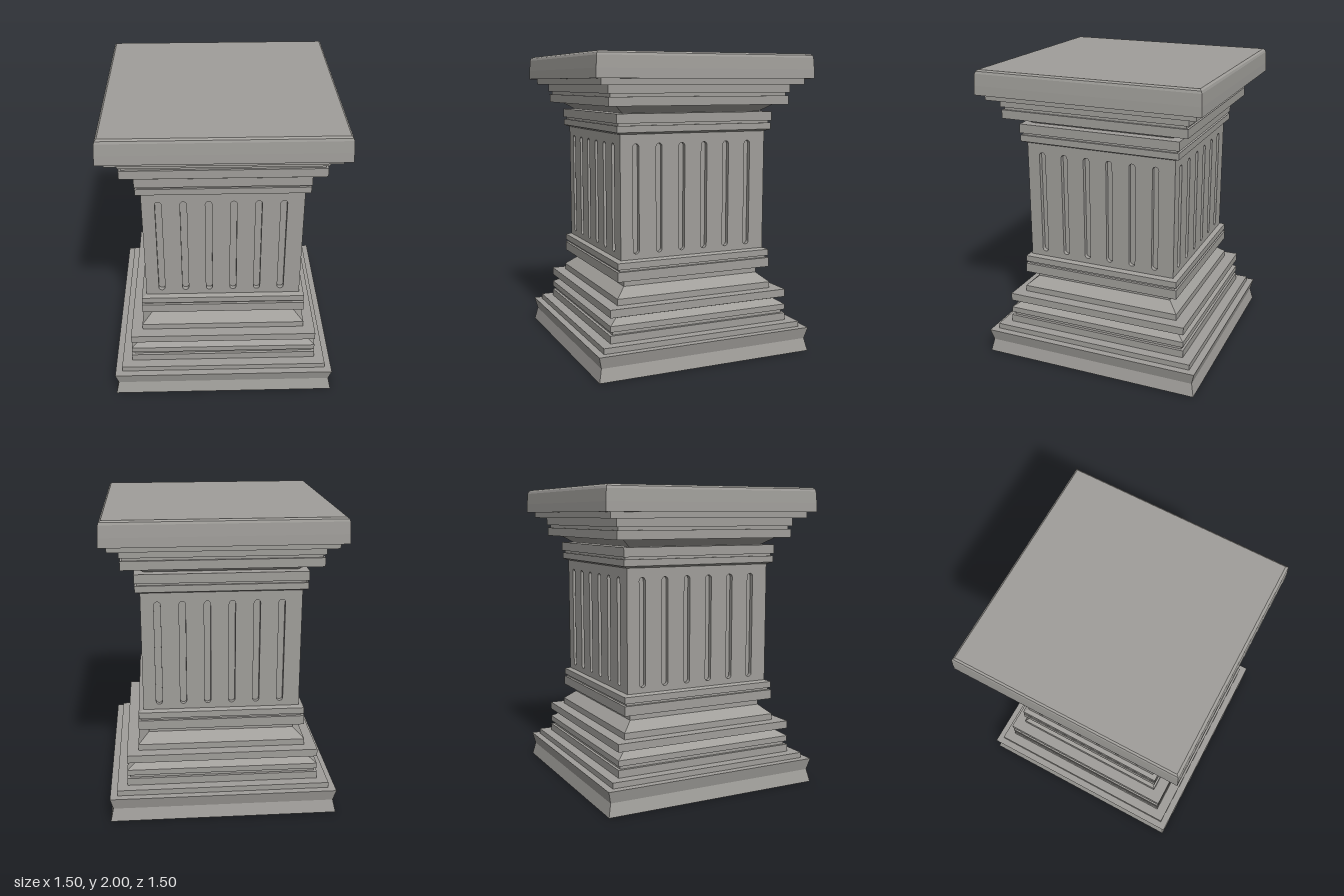
import * as THREE from 'three';

const material = new THREE.MeshStandardMaterial({ color: 0xa09e9a, flatShading: true });

// Square moulding: sweeps a [half width, height] profile round four sides
function squareMoulding(name, profile) {
  const points = profile.map(([w, y]) => new THREE.Vector2(w * Math.SQRT2, y));
  const mesh = new THREE.Mesh(new THREE.LatheGeometry(points, 4, Math.PI / 4), material);
  mesh.name = name;
  return mesh;
}

// Upright slot with round ends, cut through a shaft panel
function fluteHole(x, bottom, top, r) {
  const hole = new THREE.Path();
  hole.absarc(x, top - r, r, 0, Math.PI, false);
  hole.absarc(x, bottom + r, r, Math.PI, Math.PI * 2, false);
  hole.closePath();
  return hole;
}

export function createModel() {
  const group = new THREE.Group();
  const half = 0.518, depth = 0.03, core = half - depth;
  const shaftBottom = 0.695, shaftTop = 1.495;

  // Pedestal base
  group.add(squareMoulding('plinth', [
    [0, 0], [0.752, 0], [0.733, 0.085], [0.752, 0.163], [0.705, 0.163],
  ]));
  group.add(squareMoulding('baseMoulding', [
    [0.705, 0.163], [0.705, 0.2], [0.637, 0.2], [0.637, 0.25], [0.618, 0.25],
    [0.618, 0.273], [0.635, 0.273], [0.635, 0.311], [0.578, 0.345], [0.635, 0.364],
    [0.635, 0.416], [0.558, 0.416], [0.558, 0.458], [0.488, 0.518], [0.488, 0.565],
  ]));
  group.add(squareMoulding('lowerCollar', [
    [0.488, 0.565], [0.553, 0.565], [0.553, 0.628], [0.535, 0.628], [0.535, 0.643],
    [0.55, 0.643], [0.55, 0.685], [0.52, shaftBottom], [core, shaftBottom],
  ]));

  // Shaft: a plain core wrapped by four fluted panels, each overlapping the next at the corner
  group.add(squareMoulding('shaftCore', [[core, shaftBottom], [core, shaftTop]]));
  const panel = new THREE.Shape([
    new THREE.Vector2(-half, shaftBottom), new THREE.Vector2(core, shaftBottom),
    new THREE.Vector2(core, shaftTop), new THREE.Vector2(-half, shaftTop),
  ]);
  for (let i = 0; i < 6; i++) {
    panel.holes.push(fluteHole(-0.012 + (i - 2.5) * 0.16, 0.73, 1.435, 0.021));
  }
  const panelGeometry = new THREE.ExtrudeGeometry(panel, {
    depth, bevelEnabled: false, curveSegments: 8,
  });
  panelGeometry.translate(0, 0, core);
  ['front', 'left', 'back', 'right'].forEach((side, i) => {
    const mesh = new THREE.Mesh(panelGeometry, material);
    mesh.name = `${side}FlutedPanel`;
    mesh.rotation.y = i * Math.PI / 2;
    group.add(mesh);
  });

  // Capital
  group.add(squareMoulding('upperCollar', [
    [core, shaftTop], [0.52, shaftTop], [0.55, 1.508], [0.55, 1.55], [0.537, 1.55],
    [0.537, 1.565], [0.553, 1.565], [0.553, 1.625], [0.488, 1.625],
  ]));
  group.add(squareMoulding('capitalMoulding', [
    [0.488, 1.625], [0.56, 1.673], [0.632, 1.673], [0.632, 1.73], [0.618, 1.73],
    [0.618, 1.75], [0.638, 1.75], [0.638, 1.802], [0.705, 1.802], [0.705, 1.84],
  ]));
  group.add(squareMoulding('topSlab', [
    [0.705, 1.84], [0.752, 1.84], [0.75, 1.9], [0.745, 1.975], [0.74, 1.99],
    [0.728, 2], [0, 2],
  ]));

  return group;
}
